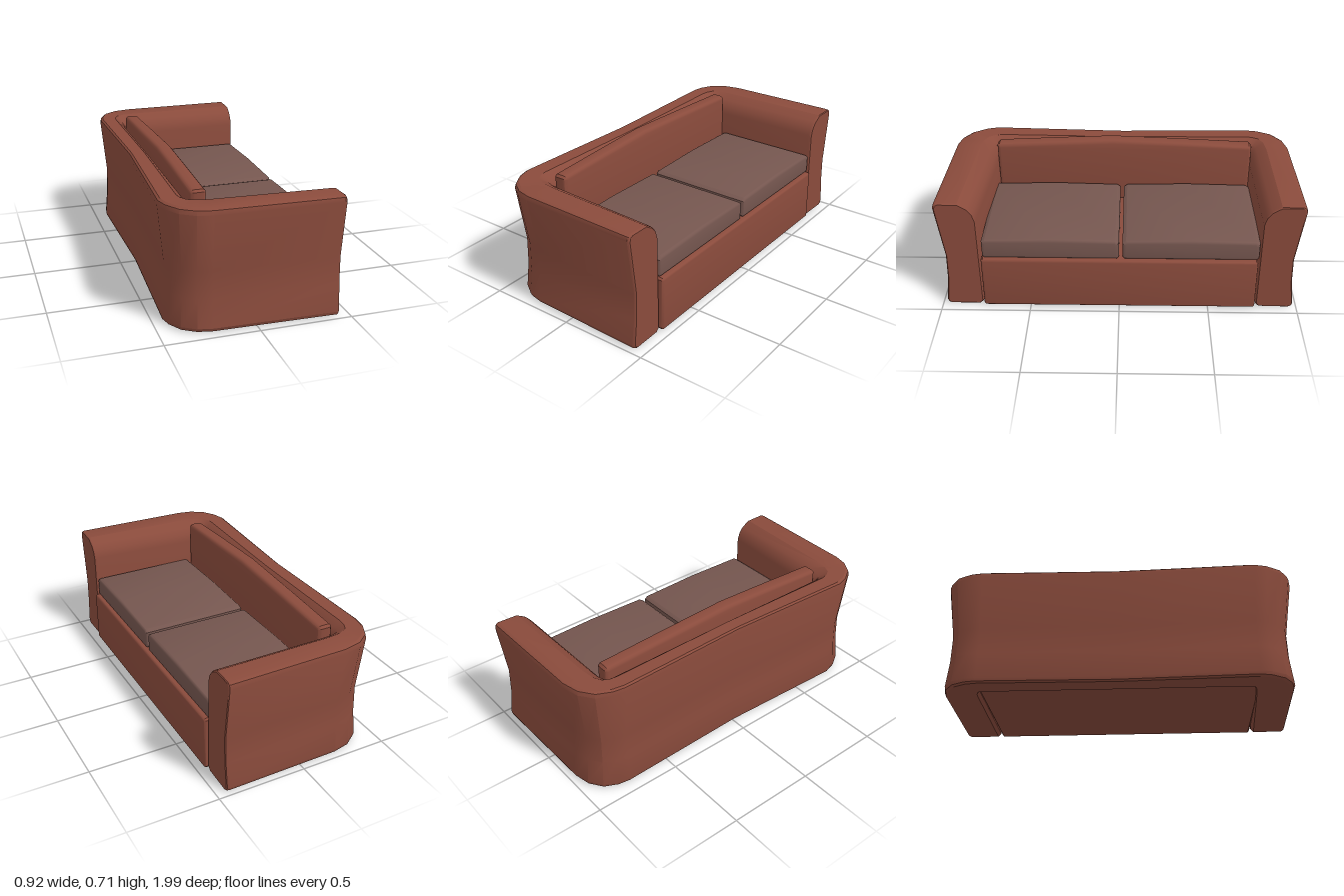
import * as THREE from 'three';
import { toCreasedNormals } from 'three/addons/utils/BufferGeometryUtils.js';

const leather = new THREE.MeshStandardMaterial({ color: 0x8a4b3c });
const fabric = new THREE.MeshStandardMaterial({ color: 0x75564f });

// Cross-section of the arms and back: [0 = inner side .. 1 = outer side, height]
const profile = [
  [0.08, 0.003], [0, 0.02], [0, 0.56], [0.06, 0.605], [0.18, 0.638], [0.4, 0.668], [0.9, 0.67], [0.97, 0.662],
  [1, 0.64], [0.82, 0.33], [0.84, 0.18], [0.92, 0.03], [0.89, 0.012], [0.82, 0.003],
];

// Plan of the U-shaped shell: inner x, z, outer x, z, size of the section
const plan = [
  [0.443, -0.77, 0.447, -0.995, 0.95],
  [0.437, -0.77, 0.443, -0.997, 0.985],
  [0.425, -0.77, 0.43, -0.998, 1],
  [-0.19, -0.765, -0.22, -0.988, 1],
  [-0.25, -0.765, -0.32, -0.965, 1],
  [-0.28, -0.76, -0.395, -0.91, 1],
  [-0.285, -0.75, -0.435, -0.83, 1],
  [-0.285, -0.73, -0.447, -0.76, 1],
  [-0.285, 0, -0.428, 0, 1],
  [-0.285, 0.70, -0.464, 0.76, 1],
  [-0.285, 0.715, -0.445, 0.83, 1],
  [-0.28, 0.725, -0.395, 0.91, 1],
  [-0.25, 0.73, -0.32, 0.96, 1],
  [-0.19, 0.735, -0.24, 0.978, 1],
  [0.425, 0.77, 0.43, 0.995, 1],
  [0.435, 0.77, 0.437, 0.993, 0.985],
  [0.44, 0.77, 0.442, 0.991, 0.95],
];

// Sweep the section around the plan and close both arm fronts
function shellGeometry() {
  const pos = [], index = [], n = profile.length;
  const put = ([ix, iz, ox, oz, s], t, y) => {
    const k = 0.47 + (t - 0.47) * s;
    pos.push(ix + (ox - ix) * k, 0.335 + (y - 0.335) * (1 - (1 - s) * 0.4), iz + (oz - iz) * k);
  };
  plan.forEach((st, i) => {
    profile.forEach(([t, y], j) => {
      put(st, t, y);
      if (i === plan.length - 1) return;
      const a = i * n + j, b = i * n + (j + 1) % n;
      index.push(a, b, a + n, b, b + n, a + n);
    });
  });
  const last = (plan.length - 1) * n, c0 = plan.length * n, c1 = c0 + 1;
  put(plan[0], 0.47, 0.335);
  put(plan[plan.length - 1], 0.47, 0.335);
  for (let j = 0; j < n; j++) {
    const k = (j + 1) % n;
    index.push(c0, k, j, c1, last + j, last + k);
  }
  const g = new THREE.BufferGeometry();
  g.setAttribute('position', new THREE.Float32BufferAttribute(pos, 3));
  g.setIndex(index);
  return toCreasedNormals(g, 0.5);
}

// Padded slab: outline in (z, y), running from x0 to x1 with rounded rims
function slab(name, outline, x0, x1, bevel, material) {
  const shape = new THREE.Shape(outline.map(([z, y]) => new THREE.Vector2(-z, y)));
  const g = new THREE.ExtrudeGeometry(shape, {
    depth: x1 - x0 - 2 * bevel, bevelSize: bevel, bevelThickness: bevel, bevelOffset: -bevel, bevelSegments: 3,
  });
  g.rotateY(Math.PI / 2).translate(x0 + bevel, 0, 0);
  const mesh = new THREE.Mesh(toCreasedNormals(g, 0.6), material);
  mesh.name = name;
  return mesh;
}

export function createModel() {
  const sofa = new THREE.Group();
  sofa.name = 'sofa';

  const shell = new THREE.Mesh(shellGeometry(), leather);
  shell.name = 'armsAndBack';
  sofa.add(shell);

  // Seat base with its front panel
  sofa.add(slab('seatBase', [
    [-0.764, 0.02], [-0.755, 0.008], [0.755, 0.008], [0.764, 0.02],
    [0.762, 0.31], [0.752, 0.32], [-0.752, 0.32], [-0.762, 0.31],
  ], -0.31, 0.46, 0.014, leather));

  // Backrest pad, highest in the middle
  sofa.add(slab('backrest', [
    [-0.768, 0.31], [0.73, 0.31], [0.733, 0.67], [0.72, 0.682],
    [0.35, 0.701], [0.05, 0.714], [-0.35, 0.698], [-0.755, 0.679], [-0.768, 0.665],
  ], -0.285, -0.2, 0.022, leather));

  // Two seat cushions
  for (const [name, za, zb] of [['rightSeatCushion', -0.768, -0.018], ['leftSeatCushion', 0.002, 0.756]]) {
    const w = zb - za;
    sofa.add(slab(name, [
      [za + 0.01, 0.318], [zb - 0.01, 0.318], [zb, 0.33], [zb, 0.42], [zb - 0.02, 0.434],
      [za + w * 0.5, 0.442], [za + 0.02, 0.434], [za, 0.42], [za, 0.33],
    ], -0.185, 0.437, 0.016, fabric));
  }
  return sofa;
}
